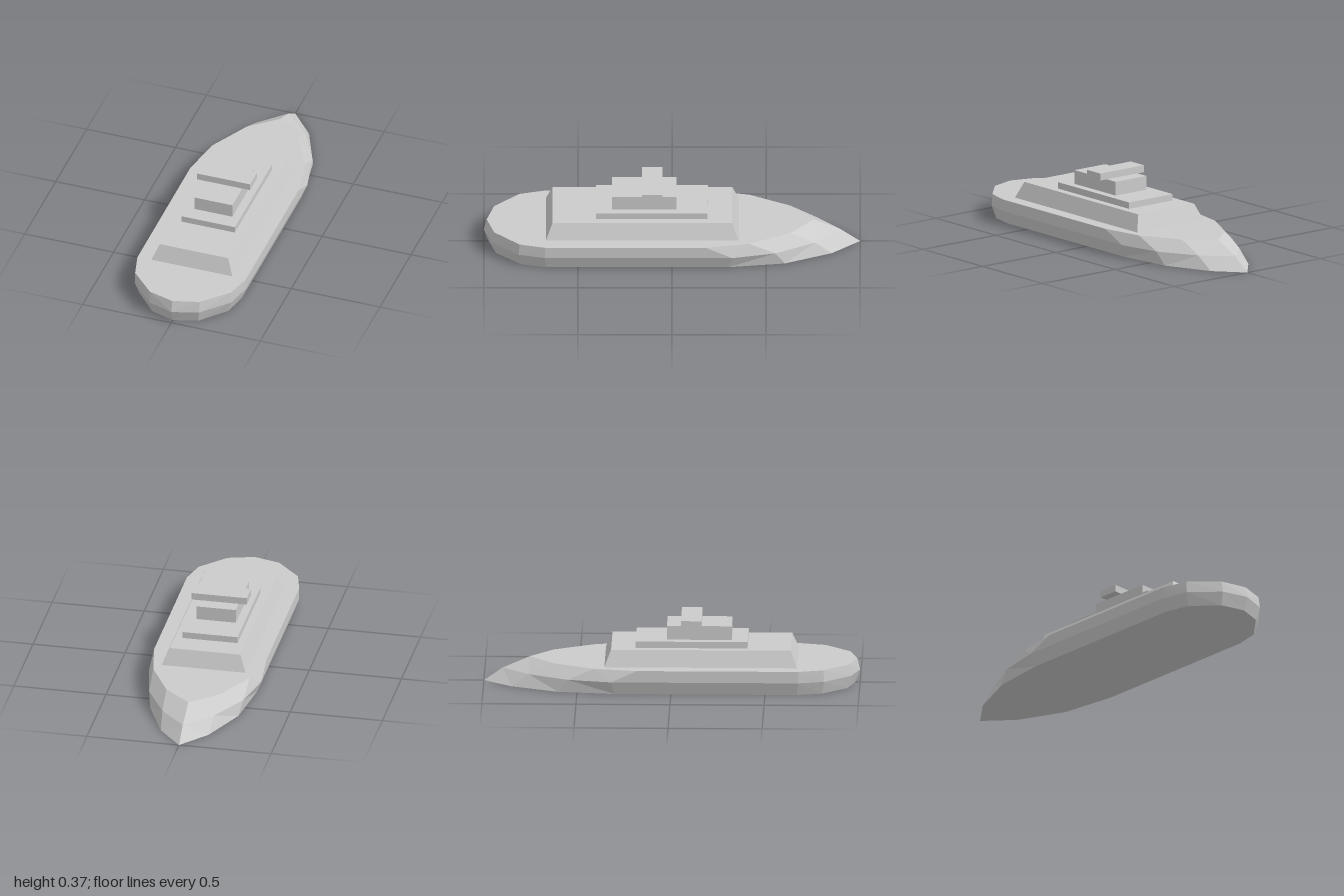
import * as THREE from 'three';

const material = new THREE.MeshStandardMaterial({ color: 0xcccccc, flatShading: true });

// Closed ring from a half outline of [x, z] points running stern to bow
function ring(y, half) {
  const right = half.map(([x, z]) => [x, y, z]);
  const left = half.filter(([x]) => x > 0).reverse().map(([x, z]) => [-x, y, z]);
  return [...right, ...left];
}

// Skin a stack of rings from bottom to top and cap both ends
function loft(rings) {
  const out = [];
  const tri = (a, b, c) => out.push(...a, ...b, ...c);
  const n = rings[0].length;
  for (let r = 0; r < rings.length - 1; r++) {
    for (let i = 0; i < n; i++) {
      const j = (i + 1) % n;
      const a = rings[r][i], b = rings[r][j], c = rings[r + 1][j], d = rings[r + 1][i];
      // Mirror the quad diagonals on the two sides
      if (a[0] + b[0] > 0) { tri(a, b, c); tri(a, c, d); }
      else { tri(a, b, d); tri(b, c, d); }
    }
  }
  const bottom = rings[0], top = rings[rings.length - 1];
  const cb = [0, bottom[0][1], 0], ct = [0, top[0][1], 0];
  for (let i = 0; i < n; i++) {
    const j = (i + 1) % n;
    tri(cb, bottom[j], bottom[i]);
    tri(ct, top[i], top[j]);
  }
  const g = new THREE.BufferGeometry();
  g.setAttribute('position', new THREE.Float32BufferAttribute(out, 3));
  g.computeVertexNormals();
  return g;
}

export function createModel() {
  const model = new THREE.Group();
  model.name = 'ship';
  const add = (name, geometry) => {
    const mesh = new THREE.Mesh(geometry, material);
    mesh.name = name;
    model.add(mesh);
    return mesh;
  };

  // Hull: flat bottom, chine and deck edge, with the bow raked towards -z
  add('hull', loft([
    ring(0, [[0, 0.975], [0.13, 0.935], [0.25, 0.80], [0.28, 0.67],
      [0.28, -0.30], [0.24, -0.60], [0.13, -0.85], [0, -1]]),
    ring(0.07, [[0, 1], [0.14, 0.955], [0.27, 0.815], [0.305, 0.675],
      [0.305, -0.32], [0.255, -0.55], [0.14, -0.76], [0, -0.90]]),
    ring(0.133, [[0, 0.985], [0.14, 0.945], [0.27, 0.81], [0.305, 0.675],
      [0.305, -0.18], [0.262, -0.41], [0.145, -0.63], [0, -0.755]]),
  ]));

  // Tapered deckhouse
  add('deckhouse', loft([
    ring(0.133, [[0.228, 0.67], [0.228, -0.355]]),
    ring(0.22, [[0.192, 0.635], [0.192, -0.32]]),
  ]));

  // Stacked upper levels: name, half width, bottom, top, bow end, stern end
  const levels = [
    ['upperDeck', 0.15, 0.22, 0.255, -0.19, 0.405],
    ['cabin', 0.106, 0.255, 0.33, -0.025, 0.32],
    ['bridge', 0.15, 0.33, 0.368, 0.05, 0.16],
  ];
  for (const [name, w, y0, y1, z0, z1] of levels) {
    add(name, new THREE.BoxGeometry(2 * w, y1 - y0, z1 - z0))
      .position.set(0, (y0 + y1) / 2, (z0 + z1) / 2);
  }
  return model;
}
